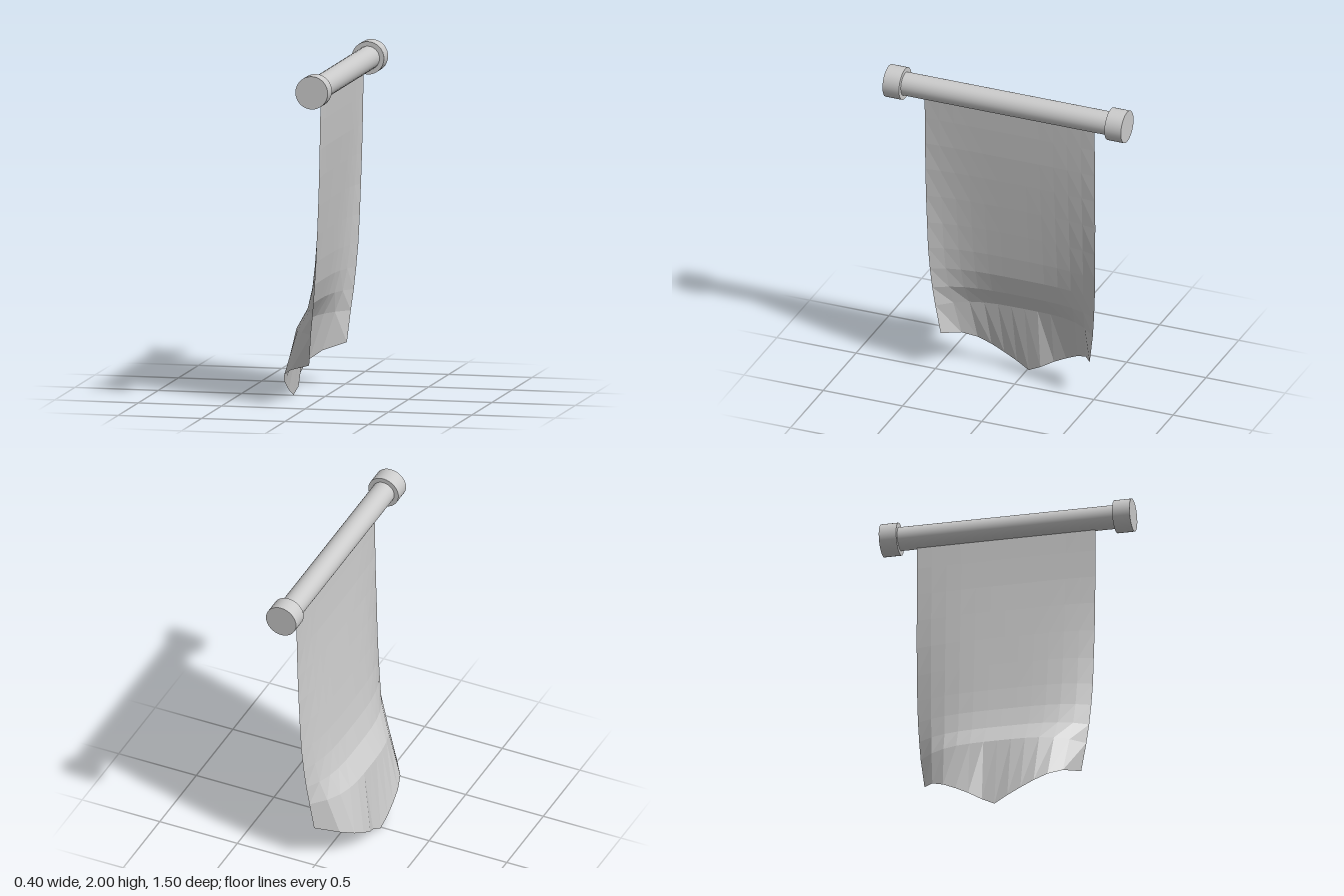
import * as THREE from 'three';

const POLE_X = 0.1, POLE_Y = 1.903;

// Cylinder lying along z
function rod(name, radius, length, z, material) {
  const geometry = new THREE.CylinderGeometry(radius, radius, length, 32);
  geometry.rotateX(Math.PI / 2);
  const mesh = new THREE.Mesh(geometry, material);
  mesh.name = name;
  mesh.position.set(POLE_X, POLE_Y, z);
  return mesh;
}

// Cross-sections of the cloth: height, x at the middle, x at the side edges, half width
const ROWS = [
  [1.86, 0.1, 0.1, 0.536],
  [1.7, 0.093, 0.097, 0.536],
  [1.53, 0.083, 0.094, 0.536],
  [1.36, 0.068, 0.09, 0.535],
  [1.18, 0.05, 0.084, 0.534],
  [1.0, 0.03, 0.078, 0.53],
  [0.83, 0.01, 0.07, 0.527],
  [0.69, -0.012, 0.059, 0.52],
  [0.56, -0.05, 0.047, 0.51],
  [0.435, -0.127, 0.032, 0.497],
  [0.25, -0.2, 0.015, 0.47],
];

function clothGeometry() {
  const columns = 12, last = ROWS.length - 1;
  const positions = [], indices = [];
  ROWS.forEach(([y, middle, edge, half], r) => {
    for (let c = 0; c <= columns; c++) {
      const s = (c / columns) * 2 - 1, t = Math.abs(s);
      const hem = r === last;
      let x = edge + (middle - edge) * (1 - Math.pow(t, hem ? 5 : 3.5));
      // The hem runs down to a point, with a small ripple at its middle
      if (hem && c === columns / 2) x += 0.008;
      if (hem && c === columns / 2 - 1) x += 0.02;
      positions.push(x, hem ? y * t : y, s * half - 0.01);
      if (r < last && c < columns) {
        const a = r * (columns + 1) + c, b = a + columns + 1;
        indices.push(a, a + 1, b, a + 1, b + 1, b);
      }
    }
  });
  const geometry = new THREE.BufferGeometry();
  geometry.setAttribute('position', new THREE.Float32BufferAttribute(positions, 3));
  geometry.setIndex(indices);
  geometry.computeVertexNormals();
  return geometry;
}

export function createModel() {
  const group = new THREE.Group();
  group.name = 'hangingBanner';
  const smooth = new THREE.MeshStandardMaterial({ color: 0xcccccc });
  const fabric = new THREE.MeshStandardMaterial({
    color: 0xcccccc, flatShading: true, side: THREE.DoubleSide,
  });

  // Pole with a wide cap at each end
  group.add(rod('pole', 0.07, 1.32, 0, smooth));
  for (const [name, side] of [['frontCap', 1], ['backCap', -1]]) {
    group.add(rod(name, 0.097, 0.104, side * 0.7, smooth));
  }

  // Billowing cloth
  const cloth = new THREE.Mesh(clothGeometry(), fabric);
  cloth.name = 'cloth';
  group.add(cloth);
  return group;
}
